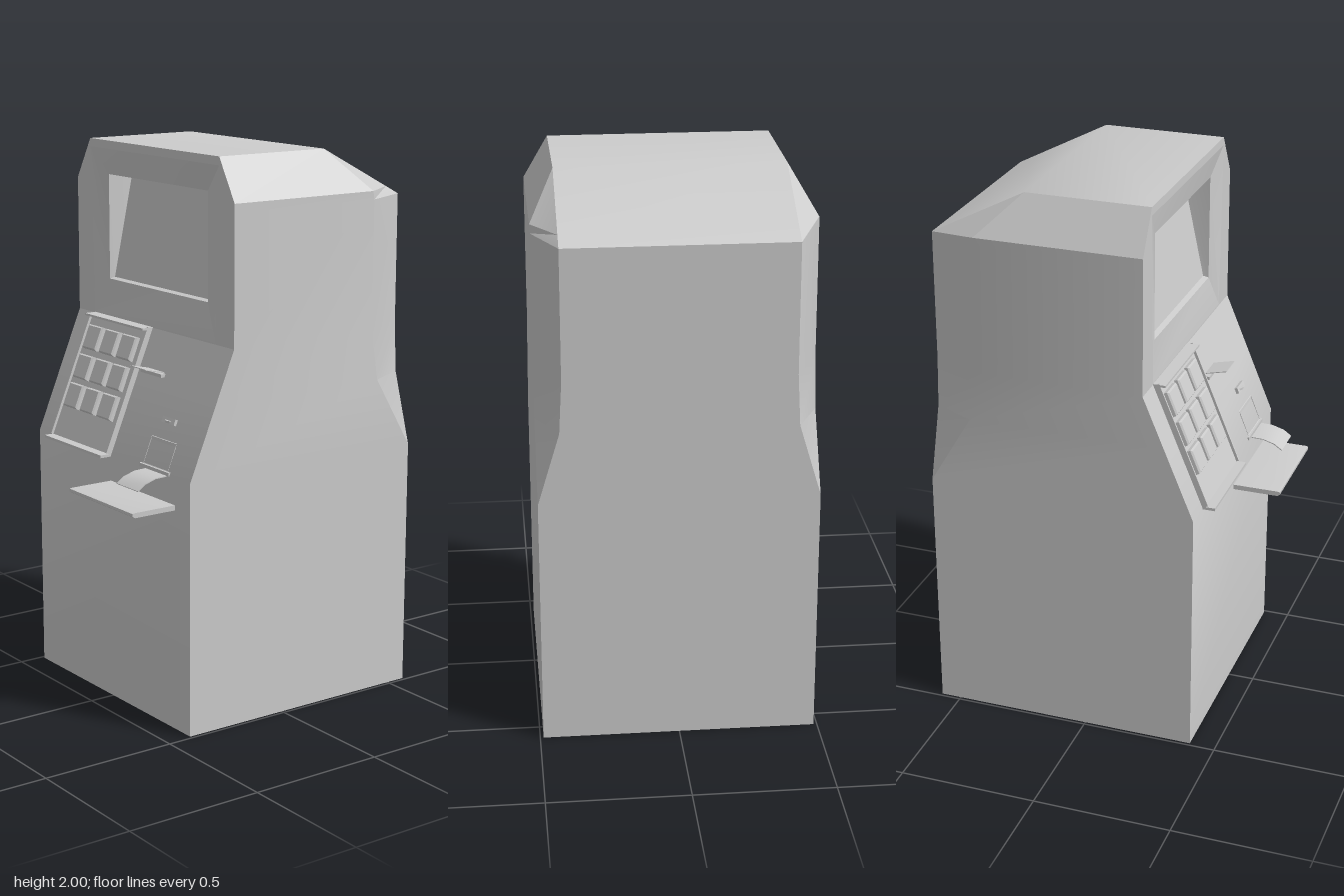
import * as THREE from 'three';
import { toCreasedNormals } from 'three/addons/utils/BufferGeometryUtils.js';

const material = new THREE.MeshStandardMaterial({ color: 0xcccccc, side: THREE.DoubleSide });

function add(parent, name, geometry, x = 0, y = 0, z = 0, rx = 0) {
  const mesh = new THREE.Mesh(geometry, material);
  mesh.name = name;
  mesh.position.set(x, y, z);
  mesh.rotation.x = rx;
  parent.add(mesh);
  return mesh;
}

const box = (w, h, d) => new THREE.BoxGeometry(w, h, d);

// Joins equal-sized rings of points; skip(layer, side) leaves a face open
function loft(rings, { capStart = false, capEnd = true, skip = () => false, crease = 0.5 } = {}) {
  const pos = [];
  const tri = (a, b, c) => pos.push(...a, ...b, ...c);
  const n = rings[0].length;
  for (let i = 0; i < rings.length - 1; i++) {
    for (let j = 0; j < n; j++) {
      if (skip(i, j)) continue;
      const k = (j + 1) % n;
      tri(rings[i][j], rings[i][k], rings[i + 1][k]);
      tri(rings[i][j], rings[i + 1][k], rings[i + 1][j]);
    }
  }
  const last = rings[rings.length - 1];
  for (let j = 1; j < n - 1; j++) {
    if (capStart) tri(rings[0][0], rings[0][j + 1], rings[0][j]);
    if (capEnd) tri(last[0], last[j], last[j + 1]);
  }
  const geometry = new THREE.BufferGeometry();
  geometry.setAttribute('position', new THREE.Float32BufferAttribute(pos, 3));
  return toCreasedNormals(geometry, crease);
}

// Extrudes a (z, y) side profile along x, centred on x = 0
function sideExtrude(points, width) {
  const shape = new THREE.Shape(points.map(([z, y]) => new THREE.Vector2(-z, y)));
  const geometry = new THREE.ExtrudeGeometry(shape, { depth: width, bevelEnabled: false });
  geometry.translate(0, 0, -width / 2).rotateY(Math.PI / 2);
  return toCreasedNormals(geometry, 0.6);
}

export function createModel() {
  const model = new THREE.Group();
  model.name = 'cashMachine';

  // Cabinet sections: y, half width, front z, side-rear z, rear half width, rear z
  const sections = [
    [0, 0.488, 0.405, -0.575, 0.488, -0.575],
    [0.91, 0.488, 0.405, -0.575, 0.488, -0.575],
    [1.17, 0.488, 0.297, -0.42, 0.41, -0.575],
    [1.355, 0.488, 0.22, -0.39, 0.4, -0.575],
    [1.82, 0.488, 0.22, -0.39, 0.4, -0.575],
    [1.85, 0.488, 0.22, -0.385, 0.4, -0.518],
    [2, 0.4, 0.22, -0.23, 0.4, -0.23],
  ];
  const rings = sections.map(([y, w, zf, zs, wb, zb]) => [
    [-w, y, zf], [w, y, zf], [w, y, zs], [wb, y, zb], [-wb, y, zb], [-w, y, zs],
  ]);
  add(model, 'cabinet', loft(rings, { capStart: true, skip: (i, j) => i >= 3 && j === 0 }));

  // Upper front face around the screen surround
  const front = new THREE.Shape([
    [-0.488, 1.355], [0.488, 1.355], [0.488, 1.85], [0.4, 2], [-0.4, 2], [-0.488, 1.85],
  ].map((p) => new THREE.Vector2(...p)));
  front.holes.push(new THREE.Path([
    [-0.38, 1.36], [-0.4, 1.97], [0.4, 1.97], [0.38, 1.36],
  ].map((p) => new THREE.Vector2(...p))));
  add(model, 'upperFront', new THREE.ShapeGeometry(front), 0, 0, 0.22);

  // Bevelled surround and a recessed, tilted screen
  const frame = (wLow, wHigh, yLow, yHigh, zLow, zHigh) => [
    [-wLow, yLow, zLow], [wLow, yLow, zLow], [wHigh, yHigh, zHigh], [-wHigh, yHigh, zHigh],
  ];
  add(model, 'screenSurround', loft([
    frame(0.38, 0.4, 1.36, 1.97, 0.22, 0.22),
    frame(0.308, 0.308, 1.49, 1.875, 0.2, 0.2),
    frame(0.305, 0.305, 1.495, 1.87, 0.18, 0.1),
  ], { crease: 0.3 }));

  // Everything on the sloping console is placed in its own tilted frame
  const tilt = Math.atan2(0.185, 0.445);
  const consoleGroup = new THREE.Group();
  consoleGroup.name = 'console';
  consoleGroup.position.set(0, 1.1325, 0.3125);
  consoleGroup.rotation.x = -tilt;
  model.add(consoleGroup);
  const up = (y) => (y - 1.1325) / Math.cos(tilt);

  // Keypad plate with raised rim
  add(consoleGroup, 'keypadPlate', box(0.38, 0.475, 0.012), -0.19, 0, 0.006);
  for (const x of [-0.377, -0.003]) {
    add(consoleGroup, 'keypadRim', box(0.006, 0.475, 0.022), x, 0, 0.011);
  }
  add(model, 'keypadUpperLip', box(0.38, 0.008, 0.05), -0.19, 1.353, 0.24);
  add(model, 'keypadLowerLip', box(0.38, 0.01, 0.06), -0.19, 0.912, 0.419);

  // Three by three keys with bevelled tops
  const keyFace = (w, h, z) => frame(w, w, -h, h, z, z);
  const keyGeometry = loft([
    keyFace(0.046, 0.046, 0), keyFace(0.045, 0.045, 0.014), keyFace(0.04, 0.04, 0.02),
  ], { crease: 0.3 });
  for (const x of [-0.307, -0.195, -0.083]) {
    for (const y of [1.268, 1.163, 1.06]) {
      add(consoleGroup, 'key', keyGeometry, x, up(y), 0.01);
    }
  }

  // Receipt slot with a slip of paper
  add(model, 'receiptSlot', box(0.13, 0.012, 0.04), 0.095, 1.215, 0.275);
  add(model, 'receipt', box(0.1, 0.003, 0.085), 0.1, 1.232, 0.312, -0.23);

  // Card slot with a half-round guide
  add(consoleGroup, 'cardSlot', box(0.075, 0.022, 0.012), 0.275, up(1.08), 0.005);
  add(model, 'cardGuide',
    new THREE.CylinderGeometry(0.028, 0.028, 0.008, 16, 1, false, -Math.PI / 2, Math.PI),
    0.275, 1.081, 0.325);

  // Curved cash outlet, its lip and the banknote
  add(model, 'cashOutlet', sideExtrude([
    [0.355, 1.02], [0.363, 1.018], [0.37, 0.975], [0.382, 0.942], [0.4, 0.925], [0.4, 0.915],
  ], 0.15), 0.275);
  add(model, 'cashLip', box(0.18, 0.012, 0.03), 0.275, 0.919, 0.392);
  add(model, 'banknote', sideExtrude([
    [0.39, 0.912], [0.45, 0.91], [0.495, 0.897], [0.525, 0.876],
    [0.523, 0.873], [0.493, 0.894], [0.45, 0.907], [0.39, 0.909],
  ], 0.13), 0.285);

  // Shelf with a tapered front edge
  add(model, 'shelf', sideExtrude([
    [0.4, 0.8], [0.57, 0.8], [0.58, 0.806], [0.58, 0.816], [0.57, 0.818], [0.4, 0.818],
  ], 0.4), 0.2);

  return model;
}
